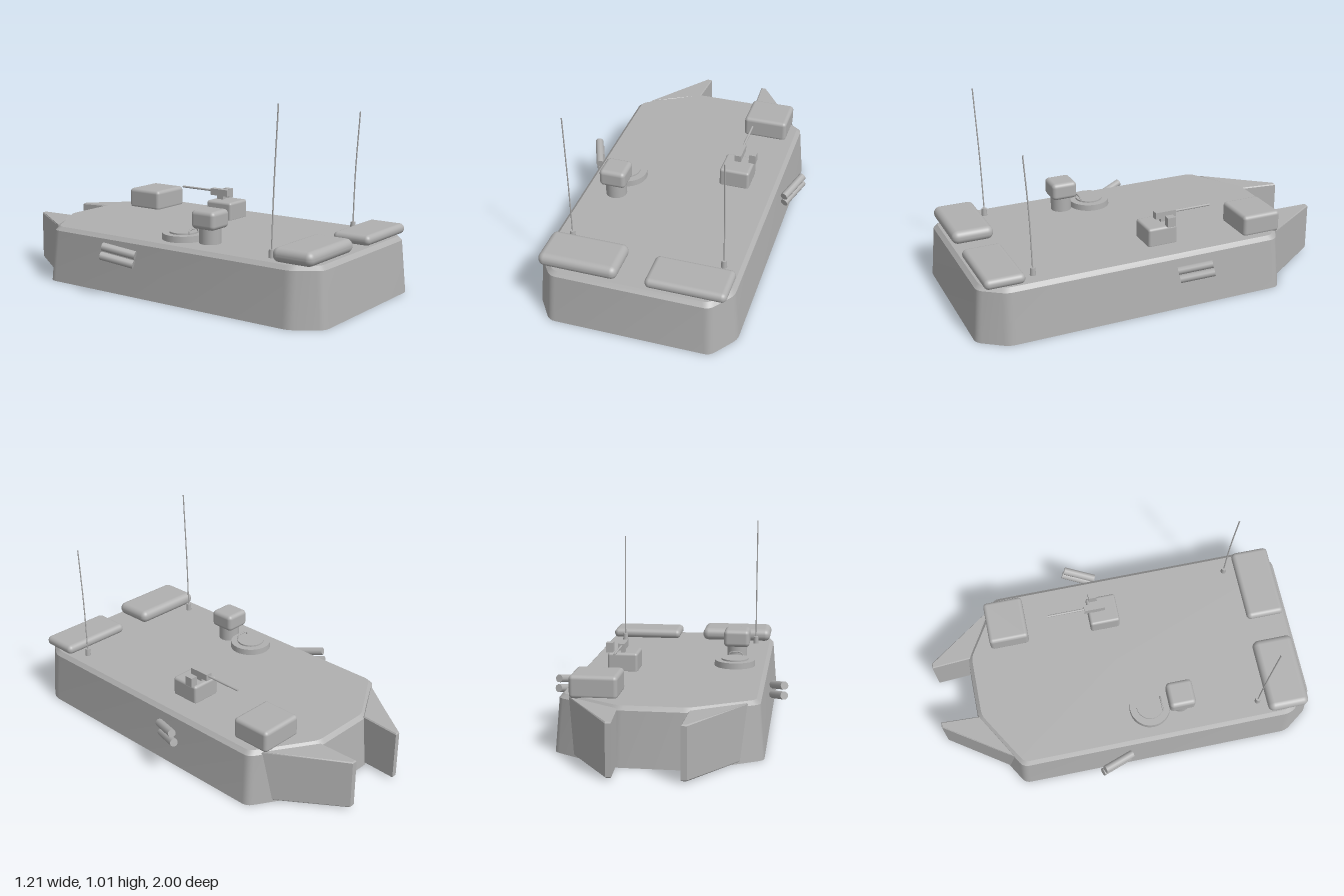
import * as THREE from 'three';
import { toCreasedNormals } from 'three/addons/utils/BufferGeometryUtils.js';
import { RoundedBoxGeometry } from 'three/addons/geometries/RoundedBoxGeometry.js';

const V3 = (x, y, z) => new THREE.Vector3(x, y, z);
const ROOF = 0.29;

// Moves every edge of a closed outline inwards by d
function inset(pts, d) {
  const n = pts.length;
  return pts.map((p, i) => {
    const a = p.clone().sub(pts[(i + n - 1) % n]).normalize();
    const b = pts[(i + 1) % n].clone().sub(p).normalize();
    const na = new THREE.Vector2(a.y, -a.x), nb = new THREE.Vector2(b.y, -b.x);
    const m = na.clone().add(nb);
    return p.clone().addScaledVector(m, d / (1 + na.dot(nb)));
  });
}

// Replaces each corner with a small curve
function roundCorners(pts, r) {
  const n = pts.length;
  return pts.flatMap((p, i) => {
    const toward = (q) => p.clone().add(q.clone().sub(p).setLength(r));
    return new THREE.QuadraticBezierCurve(
      toward(pts[(i + n - 1) % n]), p, toward(pts[(i + 1) % n])).getPoints(4);
  });
}

// Tapered body with clipped corners and a chamfered roof edge
function hullGeometry() {
  const half = [[0.41, 1], [0.51, 0.86], [0.51, -0.62], [0.18, -0.82]];
  const outline = [...half, ...half.map(([x, z]) => [-x, z]).reverse()]
    .map(([x, z]) => new THREE.Vector2(x, z));
  const levels = [[0, 0], [0.27, 0.022], [ROOF, 0.042]];
  const pos = [], idx = [];
  let n = 0;
  for (const [y, d] of levels) {
    // outline runs clockwise in x/z, so the inward normal is flipped
    const ring = roundCorners(inset(outline, d), 0.03);
    n = ring.length;
    ring.forEach((p) => pos.push(p.x, y, p.y));
  }
  const bottom = n * levels.length, top = bottom + 1;
  pos.push(0, 0, 0, 0, ROOF, 0);
  for (let i = 0; i < n; i++) {
    const j = (i + 1) % n, t = n * (levels.length - 1);
    for (let k = 0; k < t; k += n) {
      idx.push(k + i, k + j, k + n + j, k + i, k + n + j, k + n + i);
    }
    idx.push(top, t + i, t + j, bottom, j, i);
  }
  const g = new THREE.BufferGeometry();
  g.setAttribute('position', new THREE.Float32BufferAttribute(pos, 3));
  g.setIndex(idx);
  return toCreasedNormals(g, 0.35);
}

// Solid wedge standing out from a rear corner
function wingGeometry(s) {
  const shape = new THREE.Shape([[0.43, 0.64], [0.185, 1], [0.157, 1], [0.168, 0.79]]
    .map(([x, y]) => new THREE.Vector2(s * x, y)));
  const g = new THREE.ExtrudeGeometry(shape, {
    depth: 0.263, bevelEnabled: true, bevelSize: 0.005, bevelThickness: 0.006,
    bevelOffset: -0.005, bevelSegments: 1,
  });
  g.rotateX(-Math.PI / 2).translate(0, 0.016, 0);
  // the top edge falls a little towards the tip
  const p = g.attributes.position;
  for (let i = 0; i < p.count; i++) {
    if (p.getY(i) > 0.2) p.setY(i, p.getY(i) - 0.035 * (-0.64 - p.getZ(i)));
  }
  g.computeVertexNormals();
  return g;
}

export function createModel() {
  const model = new THREE.Group();
  model.name = 'turret';
  const grey = new THREE.MeshStandardMaterial({ color: 0xb0b0b0 });
  grey.name = 'plain grey';

  const add = (name, geometry, parent = model) => {
    const m = new THREE.Mesh(geometry, grey);
    m.name = name;
    parent.add(m);
    return m;
  };
  const group = (name) => {
    const g = new THREE.Group();
    g.name = name;
    model.add(g);
    return g;
  };
  // Box from its limits on each axis
  const box = (name, [x0, x1], [y0, y1], [z0, z1], r, parent) => {
    const size = [x1 - x0, y1 - y0, z1 - z0];
    const g = r ? new RoundedBoxGeometry(...size, 4, r) : new THREE.BoxGeometry(...size);
    add(name, g, parent).position.set((x0 + x1) / 2, (y0 + y1) / 2, (z0 + z1) / 2);
  };
  // Cylinder between two points
  const rod = (name, a, b, r0, r1, sides, parent) => {
    const dir = b.clone().sub(a);
    const m = add(name, new THREE.CylinderGeometry(r1, r0, dir.length(), sides), parent);
    m.position.copy(a).add(b).multiplyScalar(0.5);
    m.quaternion.setFromUnitVectors(V3(0, 1, 0), dir.normalize());
  };

  add('hull', hullGeometry());

  // Stowage
  box('rightFrontBag', [-0.47, -0.07], [ROOF, 0.36], [0.735, 0.955], 0.033);
  box('leftFrontBag', [0.07, 0.47], [ROOF, 0.342], [0.75, 0.955], 0.025);
  box('rearStowageBox', [0.19, 0.428], [ROOF - 0.01, 0.395], [-0.665, -0.452], 0.02);

  // Hatch with a raised lid and a grab handle
  const hatch = group('hatch');
  rod('hatchRing', V3(-0.31, ROOF - 0.01, 0.115), V3(-0.31, 0.322, 0.115), 0.11, 0.108, 40, hatch);
  rod('hatchLid', V3(-0.31, 0.3, 0.115), V3(-0.31, 0.33, 0.115), 0.073, 0.072, 32, hatch);
  const handle = new THREE.CatmullRomCurve3([
    V3(-0.348, 0.32, 0.177), V3(-0.342, 0.342, 0.177),
    V3(-0.278, 0.342, 0.177), V3(-0.272, 0.32, 0.177)]);
  add('hatchHandle', new THREE.TubeGeometry(handle, 16, 0.004, 6), hatch);

  // Panoramic sight
  const sight = group('sight');
  rod('sightNeck', V3(-0.31, ROOF - 0.01, 0.28), V3(-0.31, 0.38, 0.28), 0.055, 0.055, 32, sight);
  box('sightHead', [-0.38, -0.24], [0.365, 0.458], [0.208, 0.348], 0.022, sight);

  // Small gun station pointing to the rear
  const station = group('gunStation');
  box('stationBase', [0.185, 0.345], [ROOF - 0.01, 0.386], [-0.108, 0.054], 0.014, station);
  box('gunPost', [0.255, 0.277], [0.38, 0.41], [-0.085, -0.045], 0, station);
  box('gunReceiver', [0.249, 0.283], [0.405, 0.441], [-0.128, -0.015], 0, station);
  box('gunSight', [0.318, 0.355], [0.384, 0.435], [-0.092, -0.048], 0, station);
  rod('gunBarrel', V3(0.266, 0.428, -0.12), V3(0.266, 0.428, -0.33), 0.006, 0.006, 10, station);

  // Aerials, leaning slightly forwards
  for (const [side, x, y] of [['right', -0.39, 1.01], ['left', 0.39, 0.91]]) {
    const aerial = group(side + 'Aerial');
    rod('aerialBase', V3(x, ROOF - 0.01, 0.692), V3(x, 0.33, 0.692), 0.016, 0.013, 14, aerial);
    const whip = new THREE.CatmullRomCurve3([
      V3(x, 0.32, 0.692), V3(x, 0.6, 0.7), V3(x, y, 0.72)]);
    add('aerialWhip', new THREE.TubeGeometry(whip, 12, 0.0035, 6), aerial);
  }

  // Rear wings and side launcher tubes
  for (const s of [1, -1]) {
    const side = s > 0 ? 'left' : 'right';
    add(side + 'RearWing', wingGeometry(s));
    const launcher = group(side + 'Launcher');
    for (const [y, z] of [[0.223, -0.025], [0.174, -0.038]]) {
      rod('launcherTube', V3(s * 0.523, y, z), V3(s * 0.587, y + 0.036, z - 0.16),
        0.021, 0.021, 10, launcher);
    }
  }
  return model;
}
